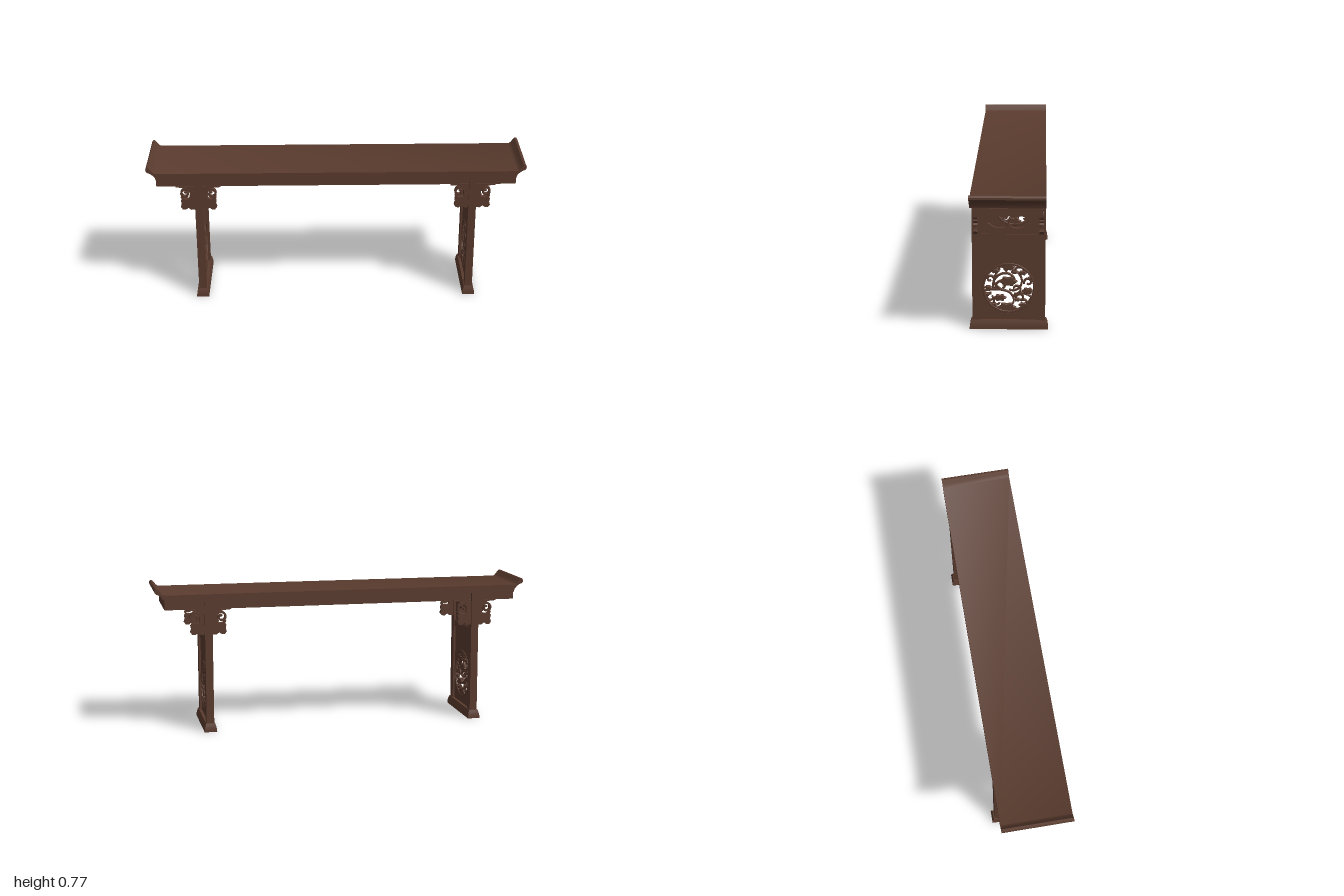
import * as THREE from 'three';
import { toCreasedNormals } from 'three/addons/utils/BufferGeometryUtils.js';

const V = (x, y) => new THREE.Vector2(x, y);
const pts = (list) => list.map(([x, y]) => V(x, y));

export function createModel() {
  const wood = new THREE.MeshStandardMaterial({ color: 0x5a3b2e });
  wood.name = 'dark wood';
  const root = new THREE.Group();
  root.name = 'altarTable';
  const table = new THREE.Group();
  table.name = 'table';
  table.position.z = -0.003;
  root.add(table);

  function add(parent, name, geo, x = 0, y = 0, z = 0) {
    const mesh = new THREE.Mesh(geo, wood);
    mesh.name = name;
    mesh.position.set(x, y, z);
    parent.add(mesh);
  }
  const box = (parent, name, w, h, d, x, y, z) =>
    add(parent, name, new THREE.BoxGeometry(w, h, d), x, y, z);

  // Extrusion centred on its own depth, optionally with a softened edge
  function slab(shape, depth, bevel = 0) {
    const geo = new THREE.ExtrudeGeometry(shape, {
      depth: depth - 2 * bevel, curveSegments: 32, bevelEnabled: bevel > 0,
      bevelSize: bevel, bevelThickness: bevel, bevelOffset: -bevel, bevelSegments: 1,
    });
    geo.translate(0, 0, -depth / 2 + bevel);
    return toCreasedNormals(geo, 0.6);
  }

  // Tapered strip following a smooth curve
  function ribbon(points, w0, w1) {
    const curve = new THREE.SplineCurve(points);
    const n = points.length * 4, left = [], right = [];
    for (let i = 0; i <= n; i++) {
      const t = i / n, p = curve.getPoint(t), d = curve.getTangent(t);
      const w = (w0 + (w1 - w0) * t) / 2;
      left.push(V(p.x - d.y * w, p.y + d.x * w));
      right.unshift(V(p.x + d.y * w, p.y - d.x * w));
    }
    return new THREE.Shape([...left, ...right]);
  }

  // Inward spiral; angles in degrees
  function spiral(cx, cy, r0, r1, start, sweep) {
    const out = [];
    for (let i = 0; i <= 12; i++) {
      const t = i / 12, r = r0 + (r1 - r0) * t;
      const a = THREE.MathUtils.degToRad(start + sweep * t);
      out.push(V(cx + Math.cos(a) * r, cy + Math.sin(a) * r));
    }
    return out;
  }

  // Lobed flower or leaf outline
  function blossom(cx, cy, rx) {
    const out = [];
    for (let i = 0; i < 48; i++) {
      const a = (i / 48) * Math.PI * 2;
      const r = rx * (0.87 + 0.13 * Math.cos(6 * a));
      out.push(V(cx + Math.cos(a) * r, cy + Math.sin(a) * r * 0.55));
    }
    return new THREE.Shape(out);
  }

  // Top board with upturned, rounded ends
  const end = [[0.948, 0.695], [0.953, 0.712], [0.966, 0.727], [0.982, 0.738], [0.994, 0.742],
    [1, 0.75], [1, 0.76], [0.994, 0.768], [0.985, 0.768], [0.976, 0.758], [0.964, 0.742], [0.953, 0.735]];
  const topOutline = [...end, ...end.map(([x, y]) => [-x, y]).reverse()];
  add(table, 'tableTop', slab(new THREE.Shape(pts(topOutline)), 0.368));

  // Apron frame beneath the board
  for (const s of [-1, 1]) {
    box(table, 'longApron', 1.9, 0.04, 0.022, 0, 0.675, s * 0.157);
    box(table, 'endApron', 0.022, 0.04, 0.3, s * 0.939, 0.675, 0);
  }

  // Upper panel with a cloud-shaped opening
  const upper = new THREE.Shape(pts([[-0.14, 0.495], [0.14, 0.495], [0.14, 0.627], [-0.14, 0.627]]));
  const half = [[0, 0.592], [0.014, 0.58], [0.032, 0.582], [0.06, 0.59], [0.077, 0.584], [0.088, 0.571],
    [0.106, 0.564], [0.107, 0.55], [0.091, 0.545], [0.08, 0.534], [0.06, 0.527], [0.035, 0.526],
    [0.017, 0.53], [0.006, 0.542]];
  const cloud = [...half, [0, 0.557], ...half.slice(1).map(([x, y]) => [-x, y]).reverse()];
  upper.holes.push(new THREE.Path(pts(cloud)));
  const upperGeo = slab(upper, 0.018);

  // Lower panel with a round opening and its rim
  const CY = 0.213;
  const lower = new THREE.Shape(pts([[-0.14, 0.04], [0.14, 0.04], [0.14, 0.46], [-0.14, 0.46]]));
  lower.holes.push(new THREE.Path().absarc(0, CY, 0.13, 0, Math.PI * 2, true));
  const lowerGeo = slab(lower, 0.018);
  const rim = new THREE.Shape().absarc(0, CY, 0.132, 0, Math.PI * 2, false);
  rim.holes.push(new THREE.Path().absarc(0, CY, 0.122, 0, Math.PI * 2, true));
  const rimGeo = slab(rim, 0.026, 0.002);

  // Stems, curling tendrils and blossoms inside the round opening
  const K = 0.00203;
  const stems = [
    [[-60, -8], [-38, -5], [-18, -6], [0, -12], [10, -24], [12, -36], [6, -50]],
    [[10, -24], [24, -15], [42, -17], [58, -26]],
    [[-20, -6], [-36, 12], [-34, 30], [-22, 48]],
  ].map((line) => line.map(([x, y]) => V(x * K, CY + y * K)));
  // centre x, centre y, radius, start angle, sweep
  const tendrils = [
    [-2, 10, 39, 200, -200], [4, 10, 38, 90, -190], [-46, 22, 10, -30, 330], [-45, -26, 11, 80, 330],
    [-28, -38, 13, 40, 300], [28, -27, 11, 180, -330], [48, 14, 11, 200, -330], [28, 42, 14, 190, -300],
    [-12, 46, 15, 200, -250], [-18, 4, 16, 220, -290], [18, -4, 14, 250, 290], [37, -42, 11, 130, -300],
  ].map(([x, y, r, a, sweep]) => spiral(x * K, CY + y * K, r * K, r * K * 0.4, a, sweep));
  const vineGeos = [...stems, ...tendrils].map((p) => slab(ribbon(p, 0.011, 0.008), 0.014, 0.0015));
  // centre x, centre y, half width
  const blossomGeos = [
    [-2, 16, 23], [-2, 54, 18], [47, -9, 15], [-22, -27, 16], [-5, -53, 24], [-51, 0, 9], [36, -46, 12],
    [34, 38, 11], [-38, -45, 10], [-34, 43, 11], [53, 24, 8], [20, -32, 8], [-54, -18, 8], [14, 40, 9],
  ].map(([x, y, r]) => slab(blossom(x * K, CY + y * K, r * K), 0.02, 0.0025));

  // Foot block, narrowing towards its top edge
  const footGeo = new THREE.BoxGeometry(0.066, 0.045, 0.394, 1, 4, 1);
  const pos = footGeo.attributes.position;
  for (let i = 0; i < pos.count; i++) {
    const t = pos.getY(i) / 0.045 + 0.5;
    const inset = 0.009 * t * t;
    pos.setX(i, pos.getX(i) - Math.sign(pos.getX(i)) * inset);
    pos.setZ(i, pos.getZ(i) - Math.sign(pos.getZ(i)) * inset);
  }
  footGeo.computeVertexNormals();

  // Scrolled bracket: profile beside the post, a spiral and a link between them
  const bracketOutline = [[0, 0.657], [0.1, 0.657], [0.098, 0.651], [0.06, 0.648], [0.028, 0.64],
    [0.017, 0.622], [0.017, 0.6], [0.026, 0.585], [0.048, 0.578], [0.064, 0.582], [0.074, 0.57],
    [0.07, 0.55], [0.076, 0.535], [0.066, 0.521], [0.05, 0.52], [0.036, 0.53], [0.02, 0.519], [0, 0.521]];
  const scroll = spiral(0.049, 0.611, 0.032, 0.007, 216, -520);
  const link = pts([[0.07, 0.593], [0.062, 0.58], [0.045, 0.575], [0.025, 0.58]]);
  function bracket(parent, side, z) {
    const flip = (list) => list.map((p) => V(p.x * side, p.y));
    const g = new THREE.Group();
    g.name = 'bracket';
    g.position.set(side * 0.02, 0, z);
    add(g, 'bracketBody', slab(new THREE.Shape(flip(pts(bracketOutline))), 0.022));
    add(g, 'bracketScroll', slab(ribbon(flip(scroll), 0.012, 0.009), 0.022));
    add(g, 'bracketLink', slab(ribbon(flip(link), 0.01, 0.01), 0.022));
    parent.add(g);
  }

  // Two identical end frames
  for (const x of [-0.73, 0.723]) {
    const leg = new THREE.Group();
    leg.name = 'legFrame';
    leg.position.x = x;
    table.add(leg);
    add(leg, 'foot', footGeo, 0, 0.0225, 0);
    for (const s of [-1, 1]) {
      box(leg, 'post', 0.04, 0.655, 0.046, 0, 0.3695, s * 0.16);
      bracket(leg, -1, s * 0.162);
      bracket(leg, 1, s * 0.162);
    }
    box(leg, 'topRail', 0.03, 0.07, 0.28, 0, 0.66, 0);
    box(leg, 'middleRail', 0.03, 0.039, 0.28, 0, 0.4775, 0);

    const panel = new THREE.Group();
    panel.name = 'carvedPanel';
    panel.rotation.y = Math.PI / 2;
    leg.add(panel);
    add(panel, 'upperPanel', upperGeo);
    add(panel, 'lowerPanel', lowerGeo);
    add(panel, 'roundRim', rimGeo);
    vineGeos.forEach((g) => add(panel, 'vine', g));
    blossomGeos.forEach((g) => add(panel, 'blossom', g));
  }
  return root;
}
